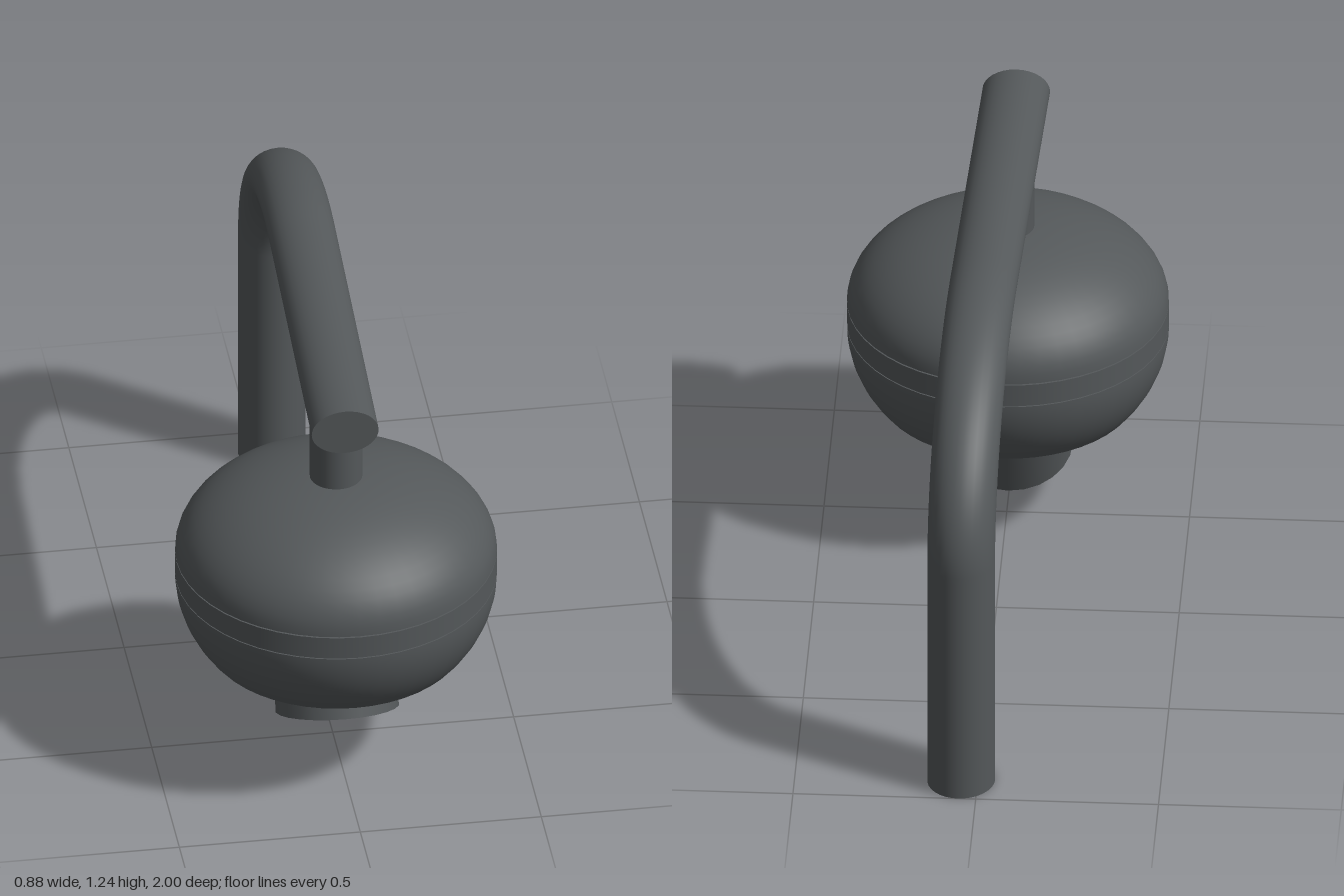
import * as THREE from 'three';
import { toCreasedNormals } from 'three/addons/utils/BufferGeometryUtils.js';

const body = new THREE.MeshStandardMaterial({ color: 0x54585a });
const trim = new THREE.MeshStandardMaterial({ color: 0xa0a4a8 });
const glass = new THREE.MeshStandardMaterial({ color: 0x4a1c22 });

function add(parent, name, geometry, material = body) {
  const mesh = new THREE.Mesh(geometry, material);
  mesh.name = name;
  parent.add(mesh);
  return mesh;
}

// Arm pipe: drawn with unit radius, then squashed and sheared as a whole
function createArm() {
  const arm = new THREE.Group();
  arm.name = 'arm';
  const v = (y, z) => new THREE.Vector3(0, y, z);
  const top = 17.37, bend = 7, back = -9, front = 7.9, k = 0.5523 * bend;
  const path = new THREE.CurvePath();
  path.add(new THREE.LineCurve3(v(0, back), v(top - bend, back)));
  path.add(new THREE.CubicBezierCurve3(
    v(top - bend, back), v(top - bend + k, back), v(top, back + bend - k), v(top, back + bend)));
  path.add(new THREE.LineCurve3(v(top, back + bend), v(top, front)));

  const shape = (g) => {
    g.scale(0.0925, 0.0675, 0.1);
    const shear = new THREE.Matrix4().set(1, 0, -0.0325, 0.016, 0, 1, 0, 0, 0, 0, 1, 0, 0, 0, 0, 1);
    return g.applyMatrix4(shear);
  };
  add(arm, 'armPipe', shape(new THREE.TubeGeometry(path, 90, 1, 32)));
  add(arm, 'armFoot', shape(new THREE.CircleGeometry(1, 32).rotateX(Math.PI / 2).translate(0, 0, back)));
  add(arm, 'armEnd', shape(new THREE.CircleGeometry(1, 32).translate(0, top, front)));
  return arm;
}

// Closed lathe whose profile is an elliptic arc between two angles
function ellipsoidShell(radius, height, from, to, inner) {
  const pts = [new THREE.Vector2(0, height * Math.sin(from))];
  if (inner) pts.push(new THREE.Vector2(inner, height * Math.sin(from)));
  for (let i = 0; i <= 16; i++) {
    const a = from + (to - from) * i / 16;
    pts.push(new THREE.Vector2(Math.max(0, radius * Math.cos(a)), height * Math.sin(a)));
  }
  if (to < 1) pts.push(new THREE.Vector2(0, height * Math.sin(to)));
  return toCreasedNormals(new THREE.LatheGeometry(pts, 48), 0.6);
}

// Ball bottom with an arched tunnel running front to back
function slottedBall() {
  const rim = 0.295, cy = 0.4675, R2 = rim ** 2 + (cy - 0.35) ** 2;
  const half = 0.205, base = 0.225, rise = 0.12;
  const side = [];
  for (let i = 1; i <= 14; i++) side.push(half * Math.sin(i / 14 * Math.PI / 2));
  for (let i = 1; i <= 7; i++) side.push(rim - (rim - half) * (1 - i / 7) ** 2);
  const columns = [...side.map((x) => -x).reverse(), 0, ...side];

  const n = 10, positions = [], index = [];
  for (const x of columns) {
    const roof = base + rise * Math.sqrt(Math.max(0, 1 - (x / half) ** 2));
    const edge = Math.sqrt(Math.max(0, rim ** 2 - x * x));
    const inSlot = Math.abs(x) < half;
    const cut = inSlot ? Math.sqrt(Math.max(0, R2 - x * x - (cy - roof) ** 2)) : 0;
    const zs = [];
    for (let j = 0; j <= n; j++) zs.push(edge + (cut - edge) * j / n);
    for (const z of [...zs.map((q) => -q), ...zs.reverse()]) {
      positions.push(x, cy - Math.sqrt(R2 - x * x - z * z), z);
    }
  }
  const row = 2 * n + 2;
  for (let i = 0; i < columns.length - 1; i++) {
    for (let j = 0; j < row - 1; j++) {
      const a = i * row + j, b = a + row;
      index.push(a, b, b + 1, a, b + 1, a + 1);
    }
  }
  const g = new THREE.BufferGeometry();
  g.setAttribute('position', new THREE.Float32BufferAttribute(positions, 3));
  g.setIndex(index);
  return toCreasedNormals(g, 0.6);
}

// Lens barrel, pointing down its own -y
function createLens() {
  const lens = new THREE.Group();
  lens.name = 'lens';
  const disc = (name, radius, from, to, material) =>
    add(lens, name, new THREE.CylinderGeometry(radius, radius, to - from, 32), material)
      .position.y = (from + to) / 2;
  add(lens, 'barrel', new THREE.CylinderGeometry(0.17, 0.17, 0.32, 24)).position.y = 0.16;
  disc('lensRing', 0.12, -0.006, 0.01, trim);
  disc('lensFace', 0.115, -0.01, 0.01, body);
  disc('lensGlass', 0.085, -0.016, 0.01, glass);
  return lens;
}

export function createModel() {
  const model = new THREE.Group();
  model.name = 'surveillanceCamera';
  model.add(createArm());

  const head = new THREE.Group();
  head.name = 'head';
  head.position.z = 0.56;
  model.add(head);

  add(head, 'stem', new THREE.CylinderGeometry(0.072, 0.072, 0.28, 32)).position.y = 0.995;

  // Housing in three parts with fine gaps between them
  add(head, 'upperShell', ellipsoidShell(0.44, 0.244, 0, Math.PI / 2)).position.y = 0.641;
  add(head, 'band', new THREE.CylinderGeometry(0.44, 0.44, 0.066, 48)).position.y = 0.604;
  const lowest = -Math.asin(0.59);
  add(head, 'lowerShell', ellipsoidShell(0.44, 0.368, lowest, 0, 0.295)).position.y = 0.568;

  add(head, 'ball', slottedBall());

  const lens = createLens();
  lens.position.set(-0.005, 0.157, 0.055);
  lens.rotation.x = -0.384;
  head.add(lens);
  return model;
}
